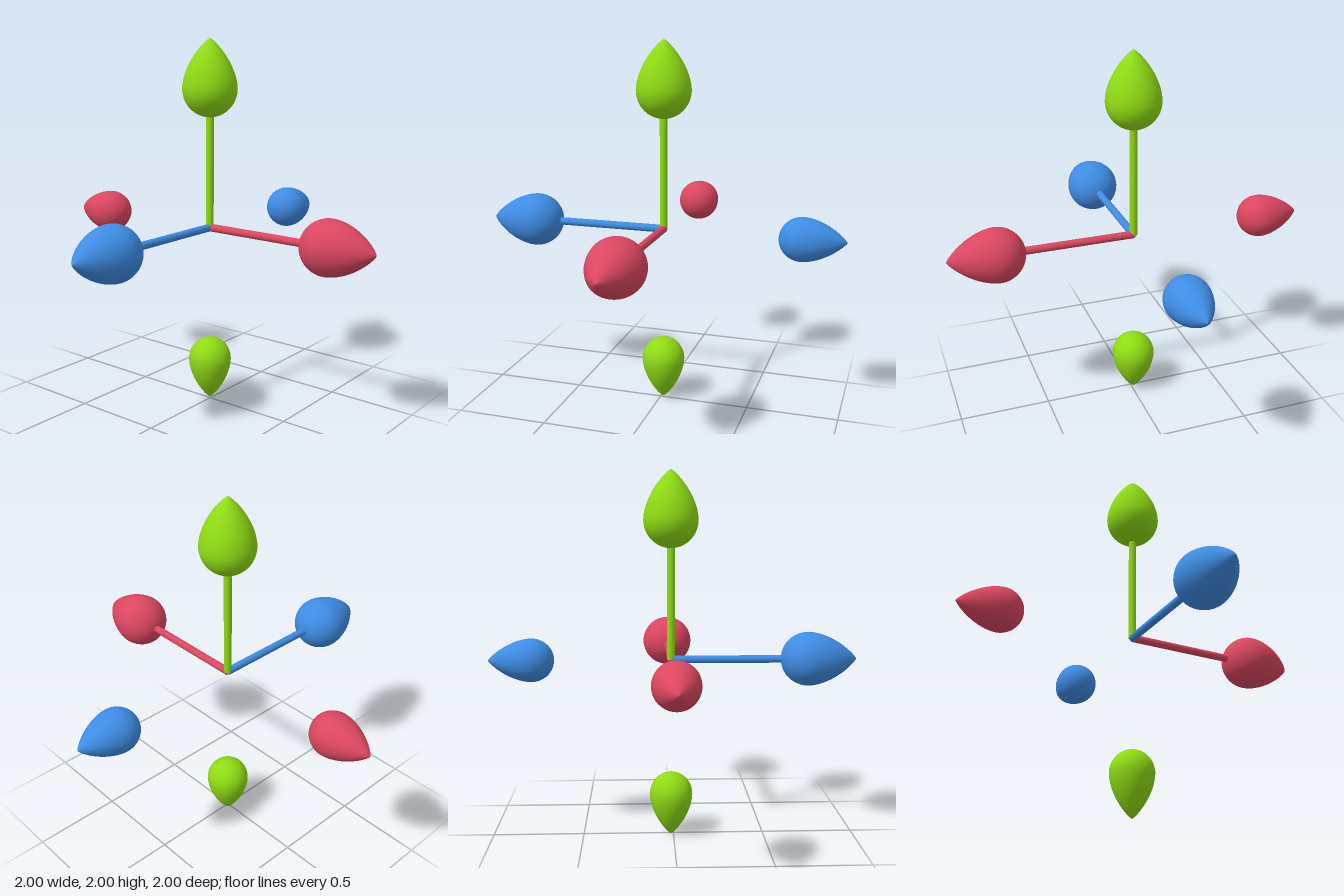
import * as THREE from 'three';

// Egg along +y: round base at y = base, widest at y = mid, narrow end at y = tip
function eggGeometry(base, mid, tip, radius) {
  const points = [];
  const n = 20;
  for (let i = 0; i <= n; i++) {
    const a = (i / n) * Math.PI / 2;
    points.push(new THREE.Vector2(radius * Math.sin(a), mid - (mid - base) * Math.cos(a)));
  }
  for (let i = 1; i <= n; i++) {
    const u = Math.sin((i / n) * Math.PI / 2);
    const r = i === n ? 0 : radius * Math.pow(1 - Math.pow(u, 1.75), 0.85);
    points.push(new THREE.Vector2(r, mid + (tip - mid) * u));
  }
  return new THREE.LatheGeometry(points, 48);
}

export function createModel() {
  const model = new THREE.Group();
  model.name = 'axisGizmo';

  const rodGeometry = new THREE.CylinderGeometry(0.021, 0.021, 0.63, 24).translate(0, 0.315, 0);
  const largeEgg = eggGeometry(0.6, 0.75, 1.013, 0.147);
  const smallEgg = eggGeometry(0.632, 0.755, 0.987, 0.118);

  const axes = [
    { name: 'x', color: 0xdb4660, dir: new THREE.Vector3(1, 0, 0) },
    { name: 'y', color: 0x8edb14, dir: new THREE.Vector3(0, 1, 0) },
    { name: 'z', color: 0x3e8ce4, dir: new THREE.Vector3(0, 0, 1) },
  ];
  const up = new THREE.Vector3(0, 1, 0);

  for (const { name, color, dir } of axes) {
    const material = new THREE.MeshStandardMaterial({ color });
    const add = (part, geometry, direction) => {
      const mesh = new THREE.Mesh(geometry, material);
      mesh.name = name + part;
      mesh.quaternion.setFromUnitVectors(up, direction);
      model.add(mesh);
    };
    // Rod and large egg on the positive side, loose small egg on the negative
    add('Rod', rodGeometry, dir);
    add('PositiveHandle', largeEgg, dir);
    add('NegativeHandle', smallEgg, dir.clone().negate());
  }

  // The unequal arms put the crossing slightly off centre
  model.position.set(-0.013, 0.987, -0.013);
  const root = new THREE.Group();
  root.name = 'axisGizmoRoot';
  root.add(model);
  return root;
}
